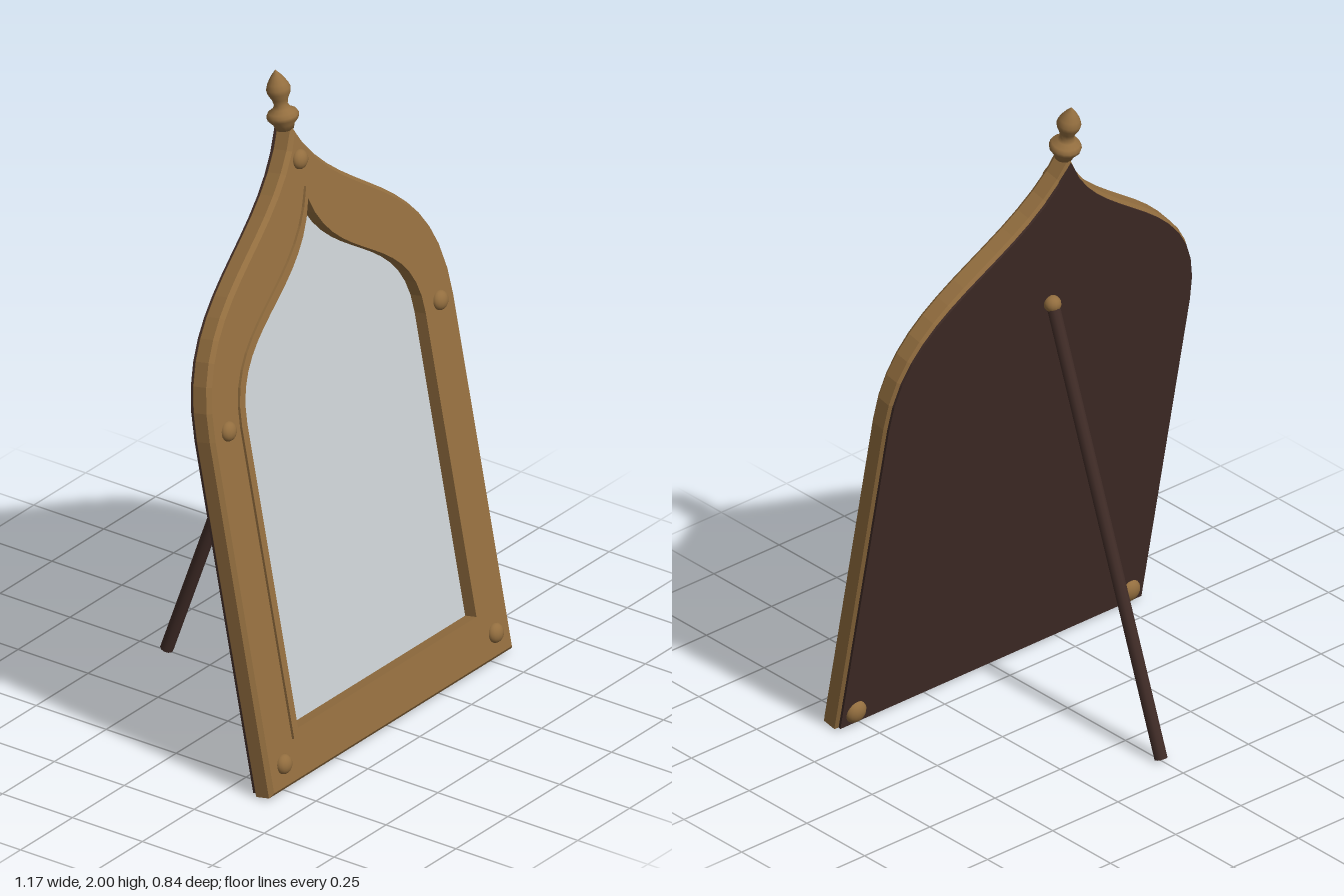
import * as THREE from 'three';

// Ogee arch outline: half width, bottom, shoulder start, two control points, apex
function ogee(Cls, w, bottom, spring, c1y, c2x, c2y, apex) {
  const s = new Cls();
  s.moveTo(-w, bottom);
  s.lineTo(w, bottom);
  s.lineTo(w, spring);
  s.bezierCurveTo(w, c1y, c2x, c2y, 0, apex);
  s.bezierCurveTo(-c2x, c2y, -w, c1y, -w, spring);
  s.closePath();
  return s;
}
// Outer edge and opening, each grown outward by d
const outer = (Cls, d = 0) => ogee(Cls, 0.585 + d, -d, 1.103, 1.541 + d, 0.15 + d * 0.4, 1.541 + d, 1.857 + d * 1.5);
const opening = (Cls, d = 0) => ogee(Cls, 0.43 + d, 0.16 - d, 1.103, 1.388 + d, 0.08 + d * 0.4, 1.368 + d, 1.633 + d * 1.5);

export function createModel() {
  const brass = new THREE.MeshStandardMaterial({ color: 0x936e3f });
  brass.name = 'brass';
  const wood = new THREE.MeshStandardMaterial({ color: 0x402c27 });
  wood.name = 'darkWood';
  const glass = new THREE.MeshStandardMaterial({ color: 0xc9cfd2 });
  glass.name = 'mirrorGlass';

  const model = new THREE.Group();
  model.name = 'standingMirror';
  const panel = new THREE.Group();
  panel.name = 'leaningPanel';
  panel.position.set(0, 0.005, 0.338);
  panel.rotation.x = -0.193;
  model.add(panel);

  function add(parent, name, geometry, material, x = 0, y = 0, z = 0) {
    const mesh = new THREE.Mesh(geometry, material);
    mesh.name = name;
    mesh.position.set(x, y, z);
    parent.add(mesh);
    return mesh;
  }
  const slab = (shape, depth) => new THREE.ExtrudeGeometry(shape, { depth, bevelEnabled: false, curveSegments: 14 });

  // Frame with bevelled edges
  const frameShape = outer(THREE.Shape);
  frameShape.holes.push(opening(THREE.Path, 0.01));
  const frame = new THREE.ExtrudeGeometry(frameShape, {
    depth: 0.046, curveSegments: 14,
    bevelEnabled: true, bevelThickness: 0.012, bevelSize: 0.012, bevelOffset: -0.012, bevelSegments: 1,
  });
  add(panel, 'frame', frame, brass, 0, 0, 0.012);

  // Raised lip around the opening
  const lipShape = opening(THREE.Shape, 0.025);
  lipShape.holes.push(opening(THREE.Path));
  add(panel, 'innerLip', slab(lipShape, 0.048), brass, 0, 0, 0.03);

  // Mirror and backing
  add(panel, 'mirror', slab(opening(THREE.Shape, 0.015), 0.007), glass, 0, 0, 0.03);
  add(panel, 'backing', slab(outer(THREE.Shape, -0.008), 0.03), wood, 0, 0, -0.004);

  // Domed studs
  const stud = new THREE.SphereGeometry(0.03, 16, 12);
  stud.scale(1, 1, 0.75);
  for (const [x, y] of [[-0.51, 1.113], [0.51, 1.113], [-0.51, 0.079], [0.51, 0.079], [0, 1.755]]) {
    add(panel, 'stud', stud, brass, x, y, 0.07);
  }

  // Rear feet
  const foot = new THREE.SphereGeometry(0.036, 16, 12);
  foot.scale(1, 1, 0.7);
  for (const side of [-1, 1]) add(panel, 'rearFoot', foot, brass, side * 0.525, 0.05, -0.002);

  // Finial
  const profile = [
    [0, 1.835], [0.026, 1.845], [0.032, 1.862], [0.046, 1.878], [0.048, 1.889], [0.042, 1.9], [0.026, 1.91],
    [0.02, 1.922], [0.024, 1.938], [0.034, 1.958], [0.036, 1.972], [0.03, 1.988], [0.016, 2.01], [0, 2.029],
  ].map(([r, y]) => new THREE.Vector2(r, y));
  add(panel, 'finial', new THREE.LatheGeometry(profile, 16), brass, 0, 0, 0.035);

  // Prop leg and its pivot
  const top = new THREE.Vector3(0, 1.31, 0.063);
  const bottom = new THREE.Vector3(0, 0.012, -0.404);
  const axis = top.clone().sub(bottom);
  const leg = add(model, 'propLeg', new THREE.CylinderGeometry(0.02, 0.02, axis.length(), 10), wood);
  leg.position.copy(top).add(bottom).multiplyScalar(0.5);
  leg.quaternion.setFromUnitVectors(new THREE.Vector3(0, 1, 0), axis.normalize());
  add(model, 'legPivot', new THREE.SphereGeometry(0.026, 14, 10), brass, 0, 1.316, 0.066);

  return model;
}
